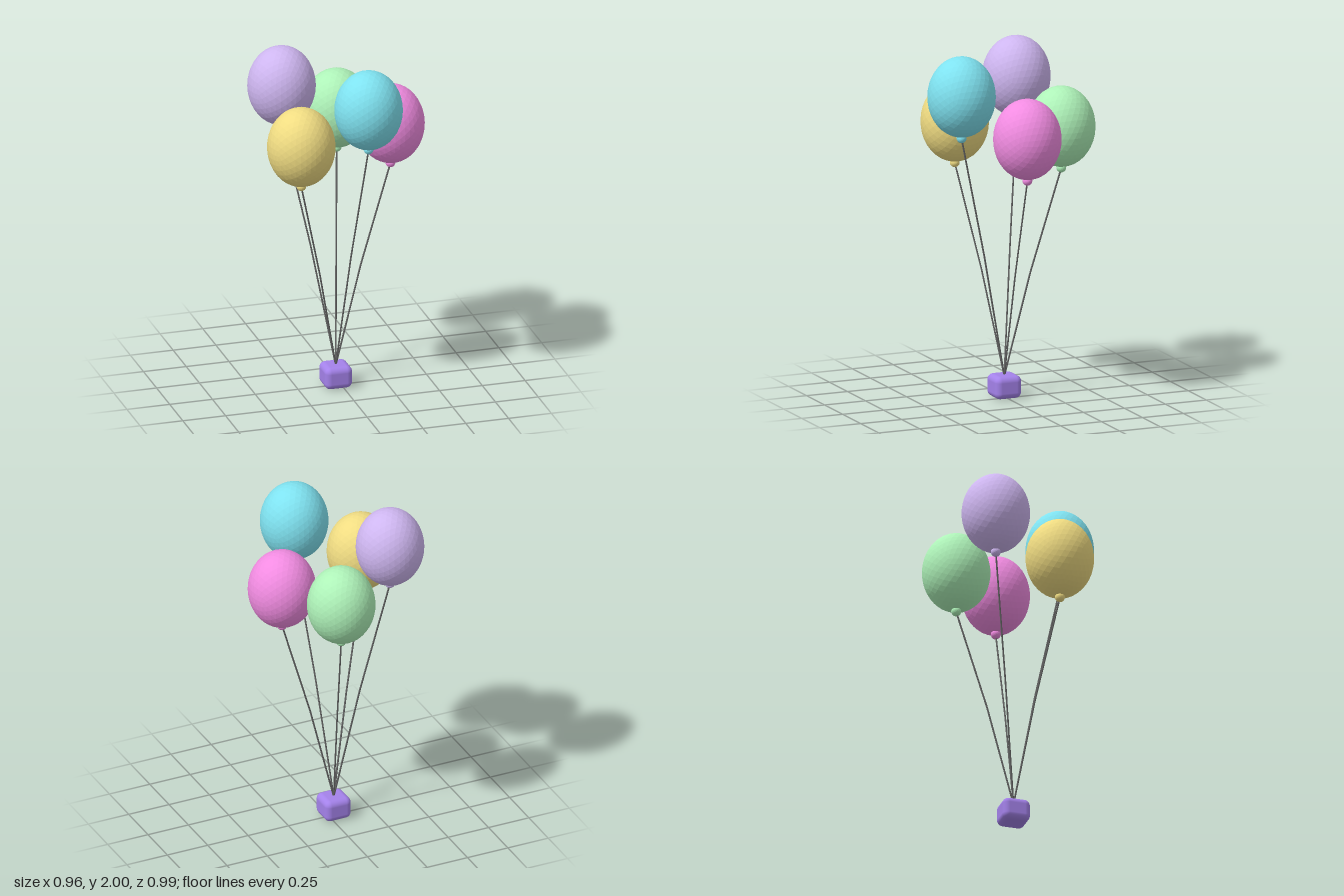
import * as THREE from 'three';
import { RoundedBoxGeometry } from 'three/addons/geometries/RoundedBoxGeometry.js';

const CX = -0.03;      // axis of the bunch
const RING = 0.32;     // distance of balloons from the axis
const LOW = 1.545, HIGH = 1.77;

const paint = (color, flatShading = false) => new THREE.MeshStandardMaterial({ color, flatShading });

function part(name, geometry, material, parent) {
  const mesh = new THREE.Mesh(geometry, material);
  mesh.name = name;
  parent.add(mesh);
  return mesh;
}

export function createModel() {
  const model = new THREE.Group();
  model.name = 'balloonBunch';

  // Rounded block that anchors the strings
  part('weight', new RoundedBoxGeometry(0.16, 0.13, 0.16, 4, 0.035), paint(0xa482ea), model)
    .position.set(CX, 0.065, 0);

  const balloonGeometry = new THREE.IcosahedronGeometry(1, 6);
  const knotGeometry = new THREE.IcosahedronGeometry(0.028, 3);
  const stringMaterial = paint(0x666666);

  // Five balloons evenly spaced around the axis
  const balloons = [
    ['pink', 0xf28ce2, LOW],
    ['cyan', 0x7fe2f0, HIGH],
    ['yellow', 0xf0dc82, LOW],
    ['lavender', 0xceb6f0, HIGH],
    ['green', 0xaef2b8, LOW],
  ];
  balloons.forEach(([label, color, y], i) => {
    const angle = (i * Math.PI * 2) / 5;
    const x = CX + RING * Math.cos(angle);
    const z = RING * Math.sin(angle);
    const group = new THREE.Group();
    group.name = label + 'Balloon';
    model.add(group);

    const material = paint(color, true);
    const body = part('body', balloonGeometry, material, group);
    body.scale.set(0.192, 0.23, 0.192);
    body.position.set(x, y, z);
    part('knot', knotGeometry, material, group).position.set(x, y - 0.237, z);

    // String with a slight bend halfway up
    const start = new THREE.Vector3(CX, 0.12, 0);
    const end = new THREE.Vector3(x, y - 0.24, z);
    const bend = start.clone().lerp(end, 0.5);
    bend.y += 0.1;
    const curve = new THREE.QuadraticBezierCurve3(start, bend, end);
    part('string', new THREE.TubeGeometry(curve, 2, 0.005, 6), stringMaterial, group);
  });

  return model;
}
